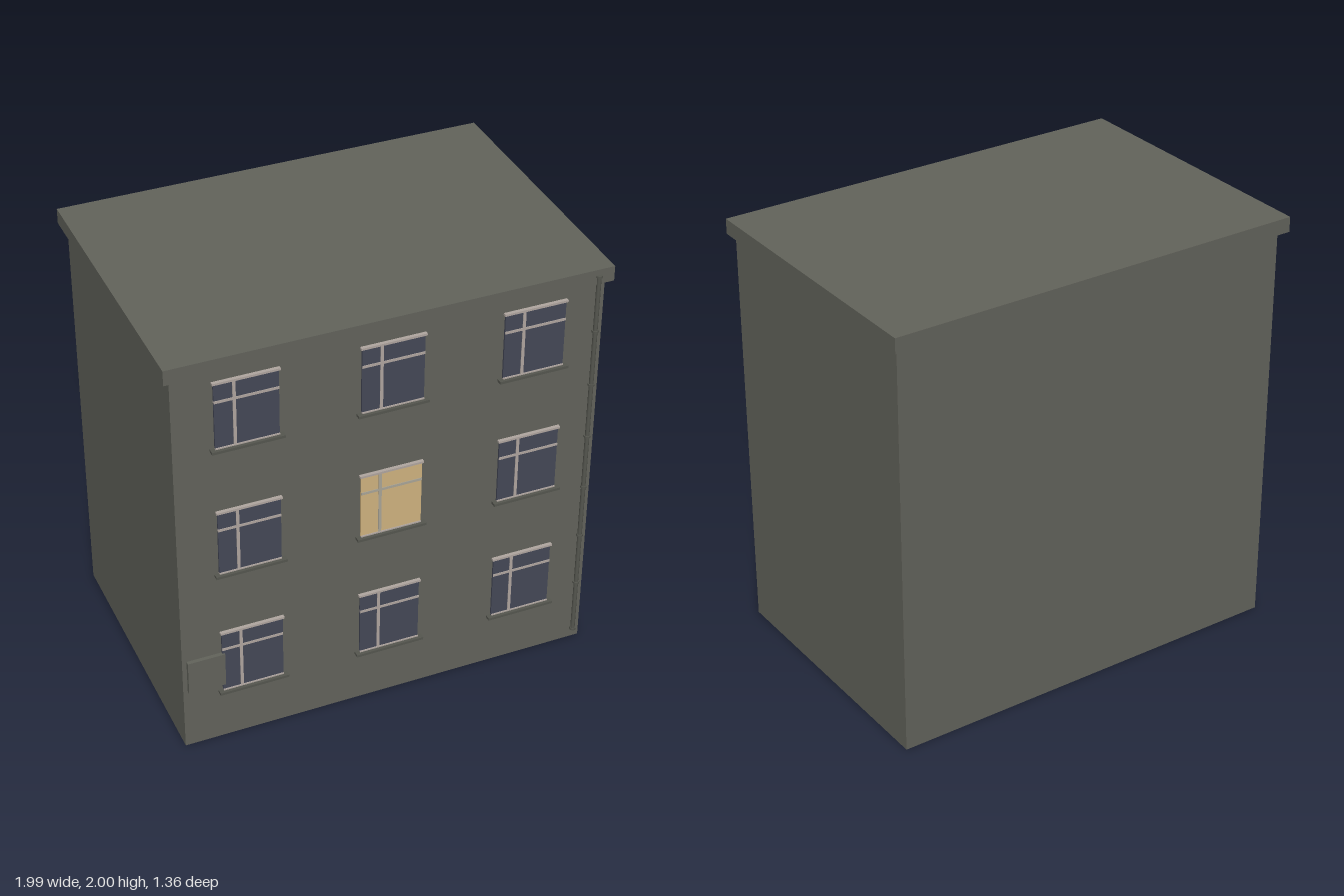
import * as THREE from 'three';

const material = (name, color) => {
  const m = new THREE.MeshStandardMaterial({ color });
  m.name = name;
  return m;
};

export function createModel() {
  const building = new THREE.Group();
  building.name = 'apartmentBuilding';

  const concrete = material('concrete', 0x62635b);
  const metal = material('dark metal', 0x55564f);
  const glass = material('dark glass', 0x444857);
  const litGlass = material('lit glass', 0xd0b37f);
  const frame = material('window frame', 0xb0a6a0);
  const litFrame = material('lit window frame', 0xaaa597);

  function add(parent, name, geometry, mat, x, y, z) {
    const mesh = new THREE.Mesh(geometry, mat);
    mesh.name = name;
    mesh.position.set(x, y, z);
    parent.add(mesh);
    return mesh;
  }
  const box = (parent, name, mat, w, h, d, x, y, z) =>
    add(parent, name, new THREE.BoxGeometry(w, h, d), mat, x, y, z);

  // Main block and overhanging flat roof
  box(building, 'walls', concrete, 1.925, 1.94, 1.28, -0.003, 0.97, 0);
  box(building, 'roofSlab', concrete, 1.985, 0.07, 1.345, -0.003, 1.965, -0.008);

  // Window: glazing, mullion, transom, head strip and projecting sill
  function addWindow(x, y, lit) {
    const win = new THREE.Group();
    win.name = lit ? 'litWindow' : 'window';
    win.position.set(x, y, 0.64);
    const bar = lit ? litFrame : frame;
    box(win, 'glazing', lit ? litGlass : glass, 0.28, 0.32, 0.009, 0, 0.16, 0.0045);
    box(win, 'mullion', bar, 0.014, 0.32, 0.012, -0.053, 0.16, 0.006);
    box(win, 'transom', bar, 0.28, 0.012, 0.012, 0, 0.229, 0.006);
    box(win, 'head', frame, 0.292, 0.01, 0.016, 0, 0.319, 0.008);
    box(win, 'sillStrip', frame, 0.28, 0.006, 0.014, 0, 0.003, 0.007);
    box(win, 'sill', metal, 0.32, 0.012, 0.028, 0, -0.006, 0.014);
    building.add(win);
  }
  [0.268, 0.912, 1.555].forEach((y, row) => {
    [-0.645, -0.003, 0.64].forEach((x, col) => addWindow(x, y, row === 1 && col === 1));
  });

  // Blank wall plate beside the lower window
  box(building, 'wallPlate', concrete, 0.17, 0.17, 0.018, -0.86, 0.39, 0.649);

  // Downpipe with evenly spaced collars
  const pipe = new THREE.Group();
  pipe.name = 'downpipe';
  add(pipe, 'pipe', new THREE.CylinderGeometry(0.01, 0.01, 1.91, 12), metal, 0.918, 1.018, 0.664);
  const collar = new THREE.CylinderGeometry(0.015, 0.015, 0.01, 12);
  for (let i = 0; i < 8; i++) add(pipe, 'collar', collar, metal, 0.918, 0.068 + i * 0.2715, 0.664);
  building.add(pipe);

  return building;
}
